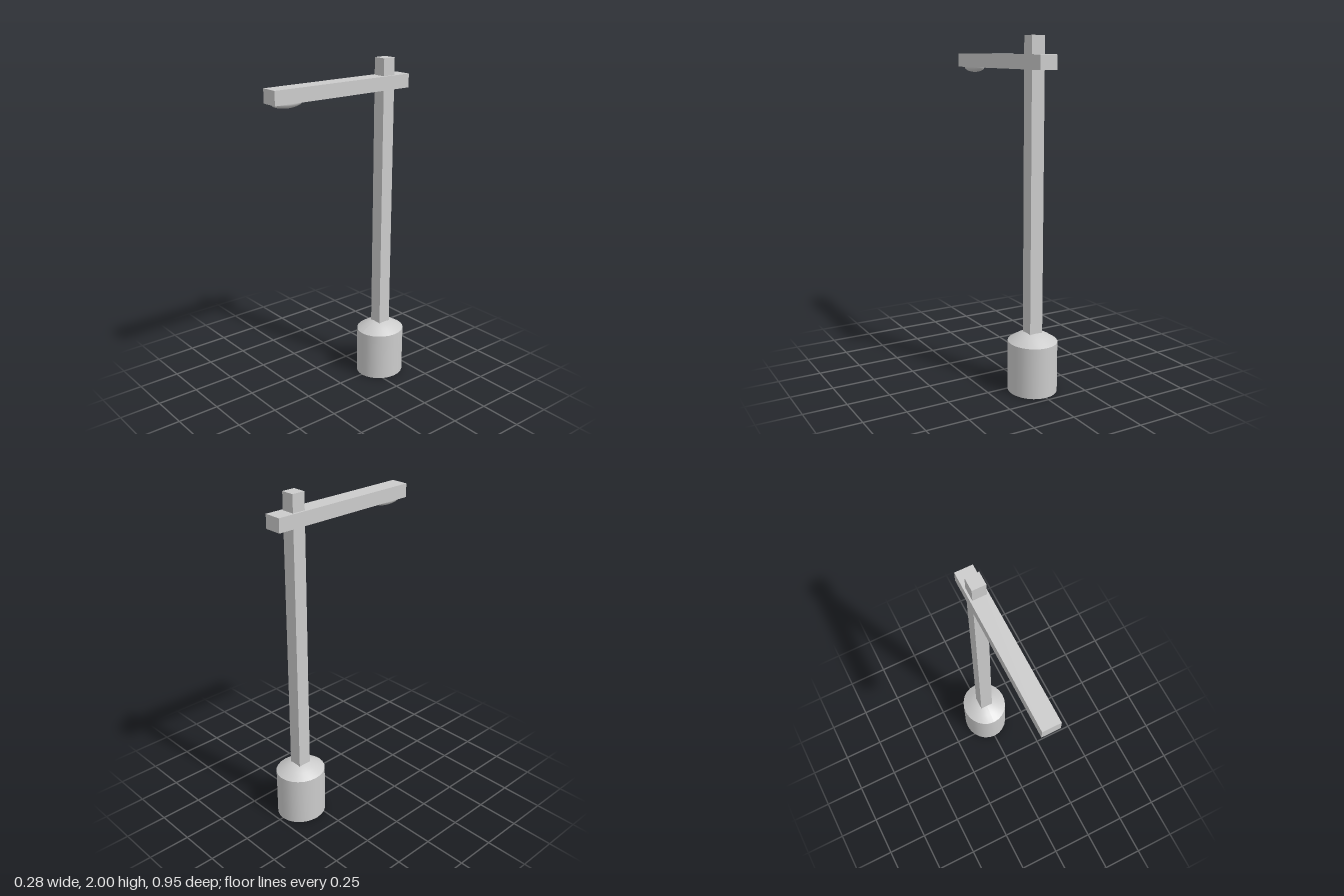
import * as THREE from 'three';

const material = new THREE.MeshStandardMaterial({ color: 0xcccccc });
const POST_Z = -0.325;

function part(name, geometry, x, y, z) {
  const mesh = new THREE.Mesh(geometry, material);
  mesh.name = name;
  mesh.position.set(x, y, z);
  return mesh;
}

export function createModel() {
  const group = new THREE.Group();
  group.name = 'streetLamp';

  // Slightly oval footing, with a low domed cap
  const footing = new THREE.CylinderGeometry(1, 1, 0.295, 24).scale(0.14, 1, 0.15);
  group.add(part('footing', footing, 0, 0.1475, POST_Z));

  const profile = [[1, 0], [0.67, 0.03], [0.35, 0.05], [0, 0.055]].map(([r, y]) => new THREE.Vector2(r, y));
  const cap = new THREE.LatheGeometry(profile, 24).scale(0.14, 1, 0.15);
  cap.computeVertexNormals();
  group.add(part('footingCap', cap, 0, 0.295, POST_Z));

  // Square post, rising through the arm
  group.add(part('post', new THREE.BoxGeometry(0.08, 1.7, 0.08), 0, 1.15, POST_Z));

  // Horizontal arm reaching forward
  group.add(part('arm', new THREE.BoxGeometry(0.104, 0.08, 0.943), 0, 1.86, 0.0035));

  // Shallow oval lamp under the front of the arm
  const lamp = new THREE.SphereGeometry(1, 24, 8, 0, Math.PI * 2, Math.PI / 2, Math.PI / 2).scale(0.045, 0.03, 0.098);
  group.add(part('lampLens', lamp, 0, 1.82, 0.363));

  return group;
}
